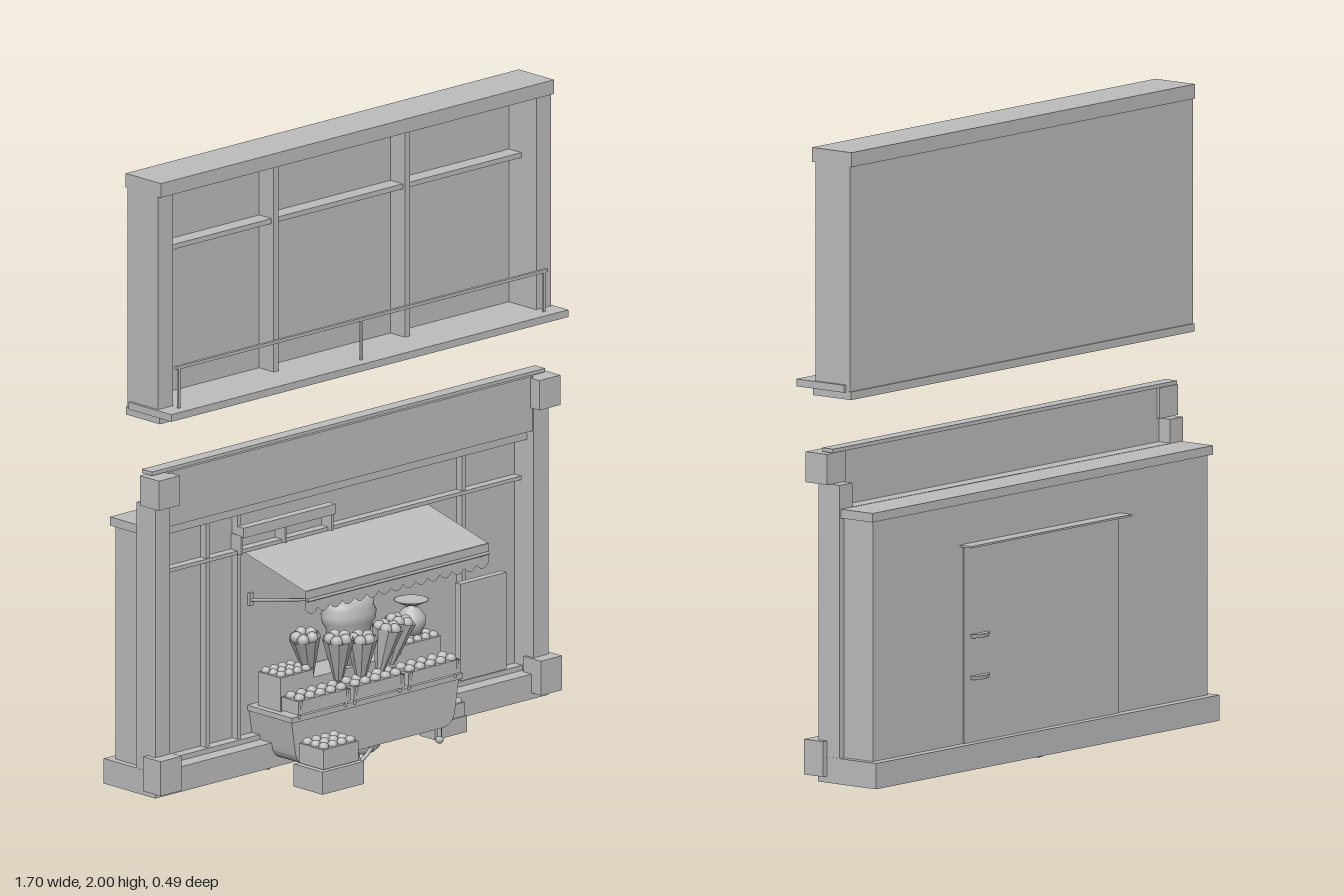
import * as THREE from 'three';

const grey = new THREE.MeshStandardMaterial({ color: 0xbcbcbc });
grey.name = 'plain grey';
grey.side = THREE.DoubleSide;

export function createModel() {
  const root = new THREE.Group();
  root.name = 'shopFront';
  const section = (name) => {
    const g = new THREE.Group();
    g.name = name;
    root.add(g);
    return g;
  };
  const mesh = (parent, name, geo, x = 0, y = 0, z = 0) => {
    const m = new THREE.Mesh(geo, grey);
    m.name = name;
    m.position.set(x, y, z);
    parent.add(m);
    return m;
  };
  // box given by its limits on each axis
  const box = (p, name, x0, x1, y0, y1, z0, z1) =>
    mesh(p, name, new THREE.BoxGeometry(x1 - x0, y1 - y0, z1 - z0), (x0 + x1) / 2, (y0 + y1) / 2, (z0 + z1) / 2);
  const rod = (p, name, a, b, r) => {
    const path = new THREE.LineCurve3(new THREE.Vector3(...a), new THREE.Vector3(...b));
    return mesh(p, name, new THREE.TubeGeometry(path, 1, r, 6));
  };
  const lathe = (p, name, pts, x, y, z, n = 20) =>
    mesh(p, name, new THREE.LatheGeometry(pts.map((q) => new THREE.Vector2(...q)), n), x, y, z);

  // upper storey: open-fronted window box
  const upper = section('upperStorey');
  box(upper, 'backPanel', -0.83, 0.83, 1.235, 1.96, -0.125, -0.11);
  box(upper, 'topBeam', -0.832, 0.832, 1.955, 2, -0.132, 0.025);
  box(upper, 'floorSlab', -0.832, 0.832, 1.23, 1.255, -0.13, 0.02);
  box(upper, 'sill', -0.84, 0.84, 1.252, 1.275, -0.11, 0.08);
  for (const s of [-1, 1]) {
    box(upper, 'sidePost', s * 0.8 - 0.031, s * 0.8 + 0.031, 1.235, 1.96, -0.125, 0.012);
    box(upper, 'mullion', s * 0.278 - 0.01, s * 0.278 + 0.01, 1.275, 1.955, -0.11, -0.045);
  }
  box(upper, 'transom', -0.77, 0.77, 1.747, 1.763, -0.11, -0.055);
  box(upper, 'handRail', -0.785, 0.785, 1.4, 1.41, 0.036, 0.047);
  for (const x of [-0.772, 0, 0.772]) box(upper, 'railPost', x - 0.004, x + 0.004, 1.275, 1.4, 0.038, 0.045);

  // ground storey shell
  const lower = section('groundStorey');
  box(lower, 'base', -0.832, 0.832, 0.03, 0.11, -0.23, 0);
  box(lower, 'backBody', -0.81, 0.81, 0.11, 0.86, -0.2, -0.085);
  box(lower, 'backCap', -0.825, 0.825, 0.857, 0.885, -0.21, -0.08);
  box(lower, 'fascia', -0.77, 0.77, 0.885, 1.06, -0.04, -0.004);
  box(lower, 'cornice', -0.832, 0.832, 1.058, 1.07, -0.06, -0.015);
  for (const s of [-1, 1]) {
    const c = s * 0.805;
    box(lower, 'column', s * 0.8 - 0.031, s * 0.8 + 0.031, 0.03, 0.96, -0.085, 0);
    box(lower, 'columnTop', c - 0.045, c + 0.045, 0.96, 1.055, -0.05, 0.035);
    box(lower, 'columnFoot', c - 0.045, c + 0.045, 0.05, 0.16, -0.035, 0.042);
  }
  box(lower, 'headRail', -0.77, 0.77, 0.852, 0.886, -0.088, -0.03);
  box(lower, 'transom', -0.77, 0.77, 0.718, 0.73, -0.09, -0.055);
  box(lower, 'bottomRail', -0.77, 0.77, 0.11, 0.126, -0.09, -0.05);
  for (const x of [-0.553, -0.42, 0.53]) box(lower, 'mullion', x - 0.007, x + 0.007, 0.12, 0.852, -0.09, -0.06);
  box(lower, 'shutterRail', -0.43, -0.04, 0.775, 0.807, -0.06, -0.03);
  for (const x of [-0.427, -0.24, -0.044]) box(lower, 'shutterBracket', x - 0.004, x + 0.004, 0.72, 0.78, -0.09, -0.04);
  box(lower, 'noticeBoard', 0.465, 0.66, 0.145, 0.455, -0.03, -0.005);

  // back door with canopy and two shell handles
  const door = section('backDoor');
  box(door, 'doorPanel', -0.375, 0.375, 0.11, 0.725, -0.205, -0.199);
  box(door, 'doorCanopy', -0.39, 0.39, 0.724, 0.73, -0.245, -0.2);
  for (const y of [0.31, 0.44]) {
    const h = mesh(door, 'doorHandle', new THREE.CylinderGeometry(0.045, 0.04, 0.012, 16), 0.3, y, -0.204);
    h.scale.z = 0.5;
  }

  // awning: sloping sheet, scalloped valance, bar and two stays
  const awning = section('awning');
  const sheet = new THREE.PlaneGeometry(0.775, 1);
  const sp = sheet.attributes.position;
  for (let i = 0; i < sp.count; i++) {
    const front = sp.getY(i) < 0;
    sp.setY(i, front ? 0.645 : 0.717);
    sp.setZ(i, front ? 0.2 : -0.086);
  }
  sheet.computeVertexNormals();
  mesh(awning, 'awningSheet', sheet);
  const scallops = 15, w = 0.775 / scallops;
  const valance = new THREE.Shape();
  valance.moveTo(-0.3875, 0.645);
  valance.lineTo(-0.3875, 0.585);
  for (let i = 0; i < scallops; i++) {
    const x = -0.3875 + i * w;
    valance.quadraticCurveTo(x + w / 2, 0.553, x + w, 0.585);
  }
  valance.lineTo(0.3875, 0.645);
  mesh(awning, 'valance', new THREE.ShapeGeometry(valance, 5), 0, 0, 0.202);
  rod(awning, 'awningBar', [-0.385, 0.616, 0.206], [0.385, 0.616, 0.206], 0.005);
  for (const s of [-1, 1]) {
    rod(awning, 'awningStay', [s * 0.352, 0.613, 0.205], [s * 0.352, 0.55, -0.088], 0.005);
    box(awning, 'stayPlate', s * 0.352 - 0.008, s * 0.352 + 0.008, 0.535, 0.575, -0.09, -0.075);
  }

  // crate filled with rows of produce
  const crate = (p, x0, x1, y0, y1, z0, z1, cols = 0, rows = 0) => {
    box(p, 'crate', x0, x1, y0, y1, z0, z1);
    const r = Math.min((x1 - x0) / (cols || 1), (z1 - z0) / (rows || 1)) * 0.46;
    for (let i = 0; i < cols; i++) for (let j = 0; j < rows; j++) {
      const f = mesh(p, 'fruit', new THREE.SphereGeometry(r, 10, 7),
        x0 + (i + 0.5) * (x1 - x0) / cols, y1 + r * 0.2, z0 + (j + 0.5) * (z1 - z0) / rows);
      f.scale.y = 0.85;
    }
  };

  // cart: round-cornered tapering tub
  const cart = section('flowerCart');
  const tub = new THREE.Shape();
  tub.moveTo(-0.355, 0.205);
  tub.lineTo(-0.338, 0.1);
  tub.quadraticCurveTo(-0.332, 0.055, -0.28, 0.055);
  tub.lineTo(0.28, 0.055);
  tub.quadraticCurveTo(0.332, 0.055, 0.338, 0.1);
  tub.lineTo(0.355, 0.205);
  mesh(cart, 'tub', new THREE.ExtrudeGeometry(tub, { depth: 0.19, bevelEnabled: false, curveSegments: 6 }), 0, 0, -0.086);
  box(cart, 'tubRim', -0.362, 0.362, 0.2, 0.217, -0.086, 0.115);
  for (const x of [-0.29, 0.29]) for (const z of [-0.07, 0.085]) {
    rod(cart, 'leg', [x, 0.01, z], [x, 0.08, z], 0.008);
    mesh(cart, 'foot', new THREE.SphereGeometry(0.013, 10, 6), x, 0.013, z);
  }
  // spoked wheels
  for (const z of [-0.13, 0.09]) {
    mesh(cart, 'wheelRim', new THREE.TorusGeometry(0.092, 0.007, 6, 28), -0.08, 0.1, z);
    for (let i = 0; i < 5; i++) {
      const a = i * Math.PI / 5, c = Math.cos(a) * 0.09, s = Math.sin(a) * 0.09;
      rod(cart, 'spoke', [-0.08 - c, 0.1 - s, z], [-0.08 + c, 0.1 + s, z], 0.004);
    }
  }
  lathe(cart, 'basketUnderCart', [[0, 0], [0.06, 0], [0.075, 0.015], [0.075, 0.04], [0, 0.055]], 0.045, 0.006, -0.03);

  // trays along the front and stepped trays behind
  for (const [a, b] of [[-0.345, -0.125], [-0.11, 0.105], [0.12, 0.34]]) {
    crate(cart, a, b, 0.225, 0.268, 0.05, 0.125, 5, 2);
    for (const x of [a + 0.012, b - 0.012]) rod(cart, 'trayPeg', [x, 0.21, 0.115], [x, 0.27, 0.127], 0.005);
  }
  crate(cart, -0.34, -0.2, 0.217, 0.325, -0.06, 0.04, 4, 3);
  crate(cart, 0.17, 0.34, 0.217, 0.325, -0.06, 0.04, 5, 3);
  box(cart, 'displayStep', -0.2, 0.17, 0.217, 0.3, -0.075, 0.04);

  // wrapped bouquets: faceted paper cones with blooms
  const bouquets = [[-0.18, 0.29, 0.0, 0.25], [-0.1, 0.27, 0.045, 0.12], [-0.03, 0.26, 0.07, 0.08],
    [0.06, 0.27, 0.06, -0.12], [0.13, 0.27, 0.03, -0.2]];
  for (const [x, y, z, tilt] of bouquets) {
    const g = new THREE.Group();
    g.name = 'bouquet';
    g.position.set(x, y, z);
    g.rotation.set(0.12, 0, tilt);
    cart.add(g);
    const paper = new THREE.CylinderGeometry(0.05, 0.014, 0.14, 9, 1, true).toNonIndexed();
    paper.computeVertexNormals();
    mesh(g, 'paperWrap', paper, 0, 0.075, 0);
    for (let i = 0; i < 5; i++) {
      const a = i * Math.PI * 0.4;
      mesh(g, 'bloom', new THREE.IcosahedronGeometry(0.019, 1), Math.cos(a) * 0.026, 0.145, Math.sin(a) * 0.026);
    }
  }
  // large lidded pot
  lathe(cart, 'pot', [[0, 0], [0.06, 0], [0.082, 0.12], [0.094, 0.135], [0.098, 0.16], [0.088, 0.178],
    [0.09, 0.195], [0.07, 0.212], [0, 0.217]], 0, 0.298, -0.015, 28).scale.z = 0.72;
  // weighing scale
  lathe(cart, 'scaleBody', [[0, 0], [0.03, 0], [0.045, 0.03], [0.045, 0.055], [0.025, 0.08], [0.01, 0.085], [0.012, 0.1]], 0.27, 0.335, -0.02);
  lathe(cart, 'scalePan', [[0, 0], [0.03, 0], [0.055, 0.012], [0.05, 0.013], [0, 0.006]], 0.27, 0.43, -0.02);

  // crates standing on the ground
  const ground = section('groundCrates');
  crate(ground, -0.36, -0.185, 0, 0.072, 0.12, 0.248);
  crate(ground, -0.347, -0.197, 0.075, 0.138, 0.13, 0.238, 4, 3);
  crate(ground, 0.305, 0.44, 0, 0.052, -0.02, 0.05);
  crate(ground, 0.312, 0.435, 0.052, 0.095, -0.02, 0.045, 4, 2);
  return root;
}
